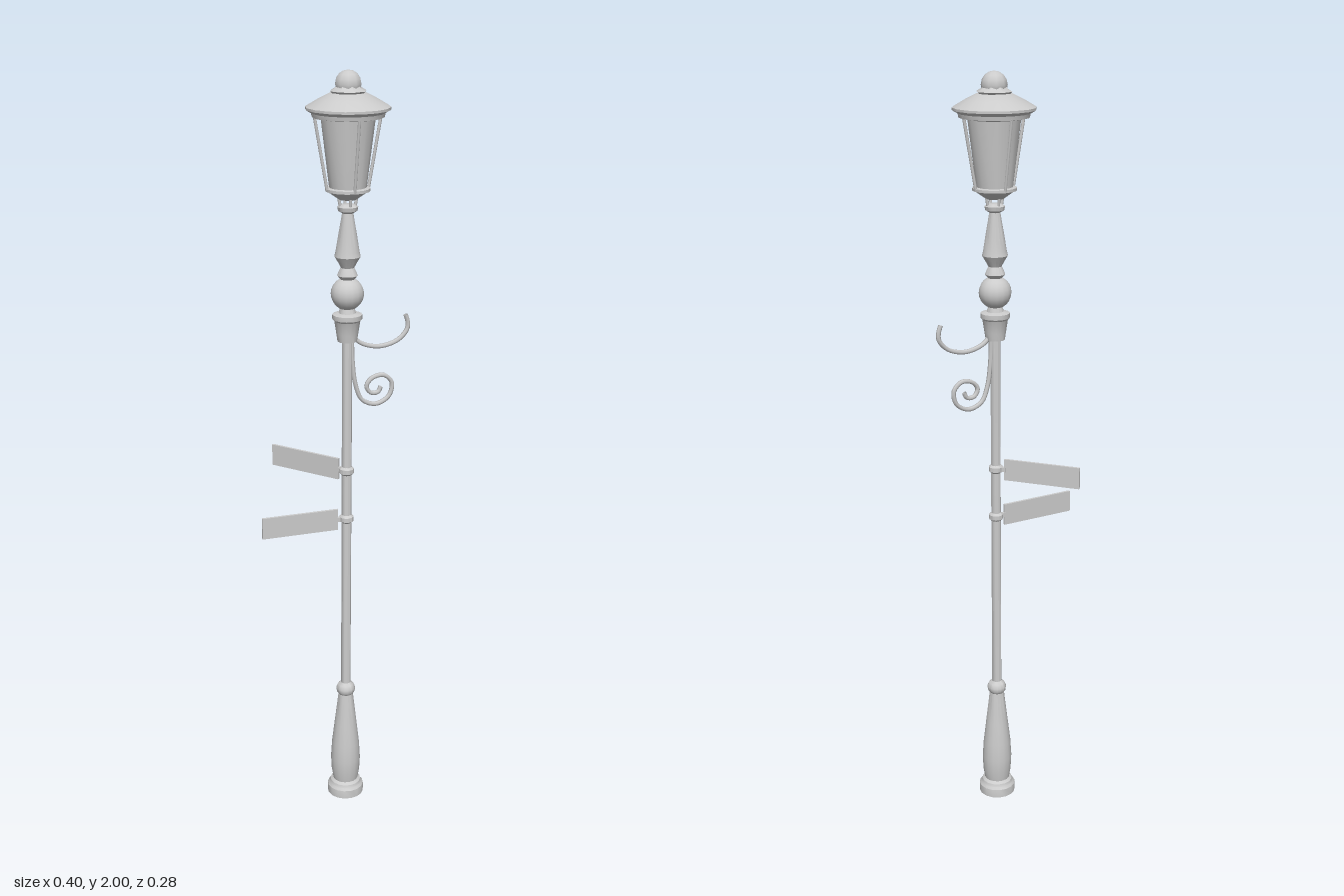
import * as THREE from 'three';
import { toCreasedNormals } from 'three/addons/utils/BufferGeometryUtils.js';

const mat = new THREE.MeshStandardMaterial({ color: 0xcccccc, side: THREE.DoubleSide });

function add(parent, name, geometry) {
  const mesh = new THREE.Mesh(geometry, mat);
  mesh.name = name;
  parent.add(mesh);
  return mesh;
}

// Turned part from [radius, height] pairs
function turned(parent, name, profile, sides = 16) {
  const pts = profile.map(([r, y]) => new THREE.Vector2(r, y));
  return add(parent, name, toCreasedNormals(new THREE.LatheGeometry(pts, sides), 0.65));
}

// Round bar following [x, y] points
function bar(parent, name, path, radius, segments = 1) {
  const curve = new THREE.CatmullRomCurve3(path.map(([x, y]) => new THREE.Vector3(x, y, 0)));
  return add(parent, name, new THREE.TubeGeometry(curve, segments, radius, 6));
}

// Street sign reaching outward from its collar on the pole
function sign(parent, name, y, yaw) {
  const g = new THREE.Group();
  g.name = name;
  g.position.y = y;
  g.rotation.y = yaw;
  const plate = add(g, 'signPlate', new THREE.BoxGeometry(0.207, 0.058, 0.007));
  plate.position.x = -0.128;
  turned(g, 'signCollar', [[0.012, -0.012], [0.019, -0.006], [0.019, 0.006], [0.012, 0.012]], 12);
  const stub = add(g, 'signBracket', new THREE.BoxGeometry(0.02, 0.012, 0.01));
  stub.position.x = -0.018;
  parent.add(g);
}

export function createModel() {
  const lamp = new THREE.Group();
  lamp.name = 'streetLamp';
  const post = new THREE.Group();
  post.name = 'post';
  post.position.set(0.031, 0, 0.036);
  lamp.add(post);

  // Base, open underneath, and the pole
  turned(post, 'plinth', [[0.036, 0], [0.05, 0], [0.05, 0.024], [0.044, 0.03], [0.042, 0.038], [0.034, 0.044]]);
  turned(post, 'base', [[0.034, 0.04], [0.039, 0.07], [0.041, 0.11], [0.038, 0.16], [0.031, 0.22],
    [0.024, 0.28], [0.02, 0.315], [0.025, 0.322], [0.026, 0.333], [0.021, 0.344], [0.013, 0.35]]);
  turned(post, 'pole', [[0.013, 0.34], [0.013, 1.34]], 10);

  sign(post, 'lowerSign', 0.843, 0);
  sign(post, 'upperSign', 0.979, -0.862);

  // Scrolled bracket
  bar(post, 'upperScroll', [[0.008, 1.36], [0.03, 1.328], [0.07, 1.312], [0.105, 1.312], [0.14, 1.325],
    [0.162, 1.35], [0.163, 1.37], [0.157, 1.388]], 0.006, 32);
  bar(post, 'lowerScroll', [[0.012, 1.345], [0.015, 1.27], [0.024, 1.21], [0.042, 1.17], [0.08, 1.156],
    [0.115, 1.175], [0.122, 1.21], [0.1, 1.232], [0.068, 1.227], [0.053, 1.207], [0.064, 1.188],
    [0.085, 1.188], [0.092, 1.202]], 0.006, 60);

  // Ornaments above the pole
  turned(post, 'cup', [[0, 1.332], [0.025, 1.332], [0.028, 1.352], [0.033, 1.385], [0.038, 1.39],
    [0.038, 1.402], [0.022, 1.406], [0.018, 1.42]]);
  const ball = add(post, 'ball', new THREE.SphereGeometry(0.042, 16, 12));
  ball.position.y = 1.455;
  turned(post, 'spindle', [[0.016, 1.49], [0.026, 1.502], [0.022, 1.512], [0.017, 1.522], [0.024, 1.535],
    [0.033, 1.55], [0.03, 1.562], [0.024, 1.6], [0.017, 1.64], [0.014, 1.658], [0.024, 1.664],
    [0.026, 1.674], [0.016, 1.68], [0, 1.68]]);

  // Lantern
  const lantern = new THREE.Group();
  lantern.name = 'lantern';
  post.add(lantern);
  turned(lantern, 'lanternFloor', [[0, 1.69], [0.022, 1.692], [0.048, 1.71], [0.056, 1.713],
    [0.056, 1.72], [0.046, 1.722], [0, 1.722]]);
  turned(lantern, 'glass', [[0.046, 1.72], [0.068, 1.9]]);
  for (let i = 0; i < 4; i++) {
    const side = new THREE.Group();
    side.name = 'lanternFrame';
    side.rotation.y = i * Math.PI / 2;
    bar(side, 'cornerBar', [[0.053, 1.715], [0.086, 1.9]], 0.004);
    bar(side, 'prong', [[0.019, 1.672], [0.024, 1.702]], 0.004);
    lantern.add(side);
  }
  turned(lantern, 'roof', [[0.066, 1.886], [0.088, 1.89], [0.09, 1.9], [0.104, 1.908], [0.104, 1.914],
    [0.075, 1.931], [0.045, 1.946], [0, 1.95]]);
  turned(lantern, 'roofCollar', [[0.038, 1.944], [0.046, 1.951], [0.034, 1.958], [0.03, 1.964]], 8);
  const finial = add(lantern, 'finial', new THREE.SphereGeometry(0.033, 10, 8));
  finial.position.y = 1.967;

  return lamp;
}
